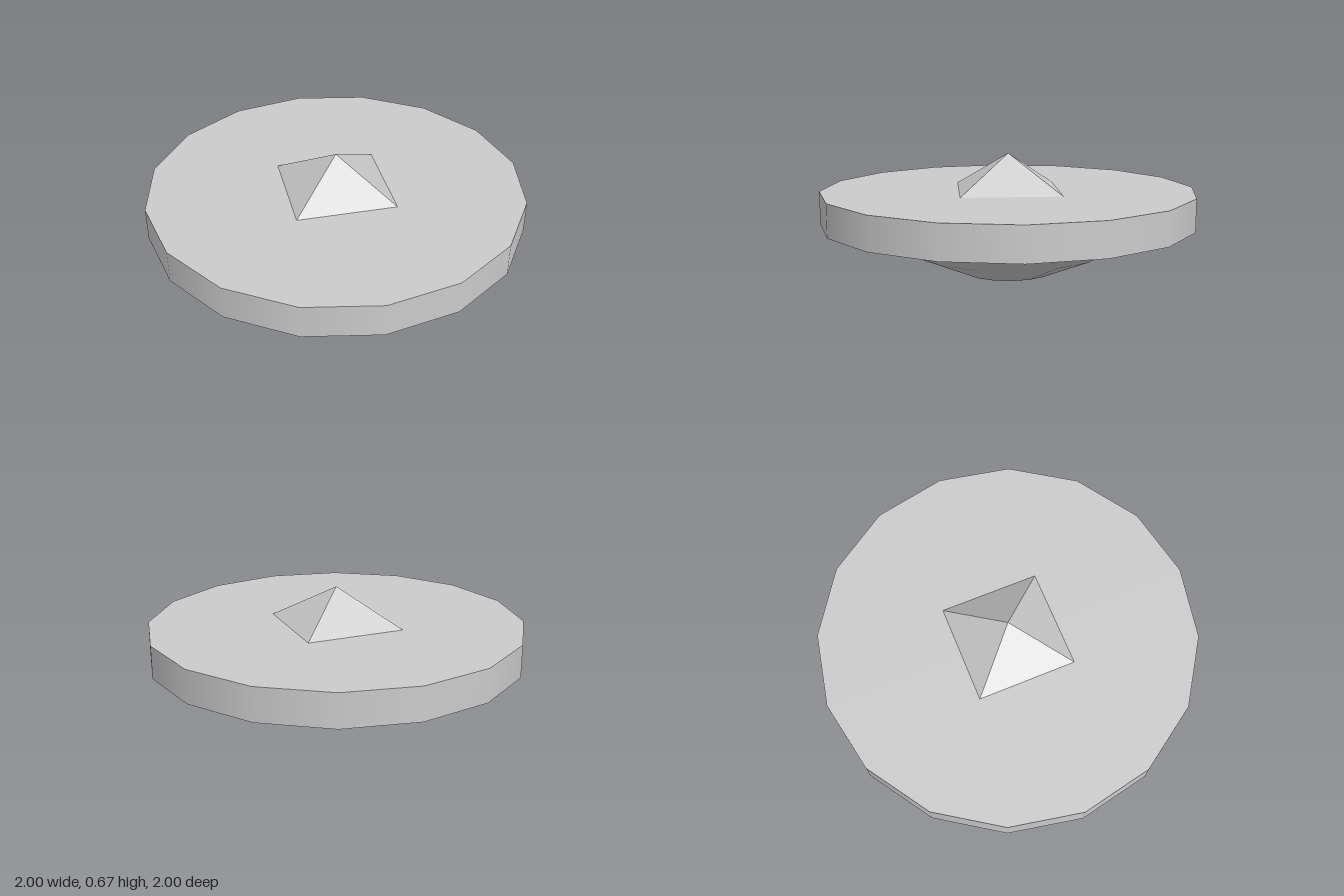
import * as THREE from 'three';

export function createModel() {
  const group = new THREE.Group();
  const smooth = new THREE.MeshStandardMaterial({ color: 0xcccccc });
  const flat = new THREE.MeshStandardMaterial({ color: 0xcccccc, flatShading: true });
  const SIDES = 16, BOTTOM = 0.3, TOP = 0.475, PEAK = 0.67;

  const add = (name, geometry, material, y = 0) => {
    const mesh = new THREE.Mesh(geometry, material);
    mesh.name = name;
    mesh.position.y = y;
    group.add(mesh);
  };

  // Thick sixteen-sided disc with a smooth rim
  add('disc', new THREE.CylinderGeometry(1, 1, TOP - BOTTOM, SIDES), smooth, (TOP + BOTTOM) / 2);

  // Shallow bowl hanging below the disc
  const profile = [[0, 0], [0.24, 0.03], [0.53, 0.152], [0.81, BOTTOM]]
    .map(([r, y]) => new THREE.Vector2(r, y));
  add('bowl', new THREE.LatheGeometry(profile, SIDES), smooth);

  // Square pyramid on top, sides parallel to the axes
  const pyramid = new THREE.ConeGeometry(0.264 * Math.SQRT2, PEAK - TOP, 4).rotateY(Math.PI / 4);
  add('pyramid', pyramid, flat, (PEAK + TOP) / 2);

  return group;
}
